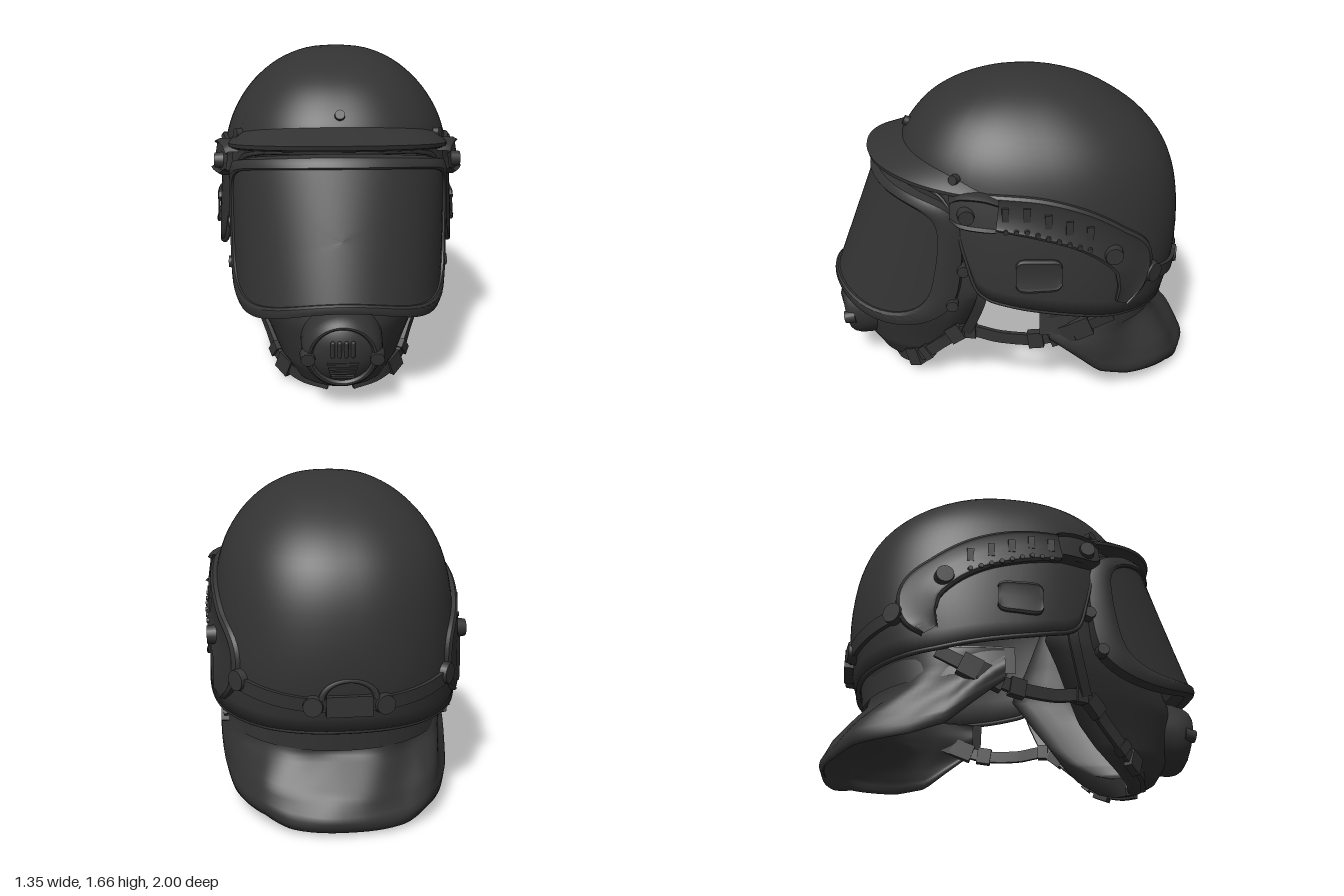
import * as THREE from 'three';
import { toCreasedNormals } from 'three/addons/utils/BufferGeometryUtils.js';

const V = (x, y, z) => new THREE.Vector3(x, y, z);
const { lerp, clamp } = THREE.MathUtils;
const rad = (d) => (d * Math.PI) / 180;
const pw = (v, e) => Math.sign(v) * Math.abs(v) ** e;

// Piecewise linear lookup in rows sorted by their first number
function look(rows, x) {
  let i = 0;
  while (i < rows.length - 2 && x > rows[i + 1][0]) i++;
  const a = rows[i], b = rows[i + 1];
  const t = clamp((x - a[0]) / (b[0] - a[0]), 0, 1);
  return a.map((v, k) => lerp(v, b[k], t));
}

// Surface from a rule f(u, v); closed directions share their seam
function grid(nu, nv, f, closeU = false, closeV = false) {
  const cu = closeU ? nu : nu + 1, cv = closeV ? nv : nv + 1;
  const pos = [], idx = [];
  for (let i = 0; i < cu; i++)
    for (let j = 0; j < cv; j++) pos.push(...f(i / nu, j / nv, i, j).toArray());
  for (let i = 0; i < nu; i++)
    for (let j = 0; j < nv; j++) {
      const i2 = (i + 1) % cu, j2 = (j + 1) % cv;
      const a = i * cv + j, b = i2 * cv + j, c = i2 * cv + j2, d = i * cv + j2;
      idx.push(a, b, c, a, c, d);
    }
  const g = new THREE.BufferGeometry();
  g.setAttribute('position', new THREE.Float32BufferAttribute(pos, 3));
  g.setIndex(idx);
  g.computeVertexNormals();
  return g;
}
const crisp = (g) => toCreasedNormals(g, rad(35));

function mirrored(geo) {
  const g = (geo.index ? geo.toNonIndexed() : geo.clone()).scale(-1, 1, 1);
  for (const at of [g.attributes.position, g.attributes.normal])
    for (let i = 0; i < at.count; i += 3) {
      const b = [at.getX(i + 1), at.getY(i + 1), at.getZ(i + 1)];
      at.setXYZ(i + 1, at.getX(i + 2), at.getY(i + 2), at.getZ(i + 2));
      at.setXYZ(i + 2, ...b);
    }
  return g;
}

// Put a geometry at p with its +z axis along dir
function place(geo, p, dir) {
  const o = new THREE.Object3D();
  o.position.copy(p);
  o.lookAt(p.clone().add(dir));
  o.updateMatrix();
  return geo.applyMatrix4(o.matrix);
}
const disc = (r, h) => new THREE.CylinderGeometry(r * 0.85, r, h, 20).rotateX(Math.PI / 2);

// Helmet cross-sections: y, half width, front z, back z
const SHELL = [
  [0.45, 0.65, 0.56, -0.84], [0.65, 0.655, 0.6, -0.89], [0.85, 0.645, 0.62, -0.905], [1.05, 0.625, 0.63, -0.89],
  [1.2, 0.597, 0.62, -0.852], [1.32, 0.555, 0.59, -0.79], [1.43, 0.488, 0.52, -0.69], [1.52, 0.405, 0.43, -0.565],
  [1.59, 0.31, 0.31, -0.435], [1.64, 0.2, 0.165, -0.28], [1.661, 0.1, 0.04, -0.16], [1.666, 0, -0.06, -0.06],
];
const curveA = new THREE.SplineCurve(SHELL.map((r) => new THREE.Vector2(r[0], r[1])));
const curveB = new THREE.SplineCurve(SHELL.map((r) => new THREE.Vector2(r[2], r[3])));
const RIM = [[-0.9, 0.48], [-0.8, 0.485], [-0.5, 0.51], [0, 0.595], [0.18, 0.635], [0.24, 0.69],
  [0.28, 0.85], [0.33, 1.09], [0.38, 1.16], [0.5, 1.2], [0.62, 1.22]];

function paramAt(y) {
  let a = 0, b = 1;
  for (let i = 0; i < 24; i++) {
    const m = (a + b) / 2;
    if (curveA.getPoint(m).x < y) a = m; else b = m;
  }
  return a;
}
// Point on the shell at angle a (0 = front) and curve parameter t
function shellAt(a, t, off = 0) {
  const A = curveA.getPoint(t), B = curveB.getPoint(t);
  return V(Math.max(0, A.y + off) * pw(Math.sin(a), 0.85), A.x,
    (B.x + B.y) / 2 + Math.max(0, (B.x - B.y) / 2 + off) * pw(Math.cos(a), 0.85));
}
const rimY = (a) => look(RIM, -0.14 + 0.76 * pw(Math.cos(a), 0.85))[1];
// Point on the left side of the shell at a given z and y
function sideAt(z, y, off = 0) {
  const t = paramAt(y), A = curveA.getPoint(t), B = curveB.getPoint(t);
  const d = Math.min(1, Math.abs((z - (B.x + B.y) / 2) / ((B.x - B.y) / 2)));
  return V(A.y * (1 - d ** 2.35) ** (1 / 2.35) + off, y, z);
}
// Raised band on the shell side along stations of z, y, half height
function band(stations, depth, n = 40) {
  const c = new THREE.CatmullRomCurve3(stations.map((s) => V(...s)));
  const sec = [[-1, -0.01], [-1, 0.7], [-0.85, 1], [-0.7, 0.75], [0, 0.75], [0.7, 0.75], [0.85, 1], [1, 0.7], [1, -0.01]];
  return crisp(grid(n, sec.length, (u, v, i, j) => {
    const p = c.getPoint(u), t = c.getTangent(u), l = Math.hypot(t.x, t.y);
    const w = sec[j][0] * p.z;
    return sideAt(p.x - (t.y / l) * w, p.y + (t.x / l) * w, sec[j][1] * depth);
  }, false, true));
}
// Flat webbing swept along a curve
const strap = (c, w, th) => crisp(grid(48, 4, (u, v, i, j) => {
  const p = c.getPoint(u), t = c.getTangent(u);
  const side = t.clone().cross(V(p.x, 0, p.z * 0.3)).normalize(), out = side.clone().cross(t);
  return p.addScaledVector(side, [-w, w, w, -w][j]).addScaledVector(out, [-th, -th, th, th][j]);
}, false, true));

// Visor surface: t around the border, k outwards from the centre
function visorAt(t, k, off = 0) {
  const c = Math.cos(t), s = Math.sin(t), r = (Math.abs(c) ** 5 + Math.abs(s) ** 5) ** -0.2;
  const v = r * s * k, phi = rad(78) * r * c * k * (1 - 0.04 * Math.max(0, -v));
  const y = 0.85 + 0.32 * v + (v < 0 ? -v * 0.055 * Math.cos(2.6 * phi) : -v * 0.05 * Math.sin(phi) ** 2);
  return V((0.55 + off) * Math.sin(phi), y, 0.3 + (0.685 - (y - 0.55) * 0.385 + off) * Math.cos(phi));
}

export function createModel() {
  const model = new THREE.Group();
  const charcoal = new THREE.MeshStandardMaterial({ color: 0x333333, side: THREE.DoubleSide });
  charcoal.name = 'charcoal';
  const add = (name, geo) => {
    const m = new THREE.Mesh(geo, charcoal);
    m.name = name;
    model.add(m);
  };
  const pair = (name, geo) => { add(name + 'Left', geo); add(name + 'Right', mirrored(geo)); };

  // Helmet shell, outside and lining in one surface, with an edge trim
  add('helmetShell', grid(112, 60, (u, v) => {
    const a = u * Math.PI * 2, k = Math.abs(v * 2 - 1);
    return shellAt(a, lerp(paramAt(rimY(a)), 1, k), v < 0.5 ? -0.022 : 0).add(V(0, v < 0.5 ? -0.022 * k : 0, 0));
  }, true));
  const rim = Array.from({ length: 90 }, (_, i) => shellAt(rad(i * 4), paramAt(rimY(rad(i * 4))), -0.01));
  add('edgeTrim', new THREE.TubeGeometry(new THREE.CatmullRomCurve3(rim, true), 180, 0.013, 8, true));

  // Peak over the visor: half width, centre z, depth, y in the middle, y at the ends
  const peak = [[0.545, 0.1, 0.43, 1.35, 1.2], [0.56, 0.13, 0.54, 1.315, 1.2], [0.575, 0.15, 0.622, 1.285, 1.185],
    [0.575, 0.15, 0.615, 1.262, 1.17], [0.555, 0.13, 0.5, 1.225, 1.15], [0.54, 0.1, 0.43, 1.215, 1.14]];
  add('peak', crisp(grid(48, peak.length, (u, v, i, j) => {
    const a = rad(lerp(-84, 84, u)), [w, zc, d, ym, ye] = peak[j], c = Math.cos(a);
    return V(w * pw(Math.sin(a), 0.9), lerp(ye, ym, c), zc + d * pw(c, 0.9));
  }, false, true)));

  // Visor lens and its heavy frame
  add('visorLens', grid(96, 14, (u, v) => visorAt(u * Math.PI * 2, v * 1.01), true));
  const frame = [[1, -0.01], [1, 0.01], [1.03, 0.018], [1.1, 0.015], [1.16, 0.004], [1.18, -0.05], [1, -0.07]];
  add('visorFrame', crisp(grid(128, frame.length, (u, v, i, j) => visorAt(u * Math.PI * 2, ...frame[j]), true, true)));
  for (const [z, y] of [[0.29, 0.78], [0.35, 0.58]])
    pair('frameBolt', place(disc(0.035, 0.05), V(0.55, y, z), V(1, 0, 0)));

  // Face mask: open at the back with a broad inward sealing lip; rows of y, half width, front z, back z
  const mask = [[0.005, 0.02, 0.63, 0.61], [0.02, 0.14, 0.69, 0.57], [0.06, 0.24, 0.76, 0.49], [0.15, 0.32, 0.82, 0.37],
    [0.25, 0.37, 0.85, 0.28], [0.4, 0.445, 0.87, 0.2], [0.5, 0.49, 0.84, 0.15], [0.62, 0.535, 0.76, 0.08],
    [0.85, 0.54, 0.62, 0.16], [1.15, 0.52, 0.52, 0.25]];
  add('faceMask', grid(40, 40, (u, v) => {
    const inner = v >= 0.5, a = lerp(-92, 92, inner ? 2 - v * 2 : v * 2);
    const [y, w, zf, zb] = look(mask, 0.005 + 1.145 * u ** 1.6);
    return V(w * (inner ? 0.77 : 1) * Math.sin(rad(a)), inner ? lerp(0.1, 1.12, y / 1.15) : y,
      zb + (zf - zb) * (inner ? 0.9 : 1) * Math.cos(rad(a)));
  }, false, true));

  // Breathing valve: round housing, grille bars and side lugs
  const tilt = (g) => g.rotateX(rad(9)).translate(0, 0.32, 0.845);
  const prof = [[0.2, -0.08], [0.198, 0], [0.193, 0.05], [0.178, 0.085], [0.163, 0.1], [0.152, 0.1], [0.142, 0.088], [0.137, 0.094], [0.08, 0.112], [0, 0.118]];
  add('valveHousing', tilt(crisp(new THREE.LatheGeometry(prof.map((p) => new THREE.Vector2(...p)), 48).rotateX(Math.PI / 2))));
  for (let i = 0; i < 4; i++) {
    add('valveSlat', tilt(new THREE.CapsuleGeometry(0.011, 0.07, 4, 8).translate(-0.048 + i * 0.032, 0.05, 0.113)));
    add('valveBar', tilt(new THREE.BoxGeometry(0.15 - i * 0.012, 0.012, 0.03).translate(0, -0.03 - i * 0.024, 0.104)));
  }
  pair('valveLug', tilt(disc(0.04, 0.06).translate(0.165, -0.01, 0.08)));

  // Chin and neck straps with buckles
  const path = new THREE.CatmullRomCurve3([V(0.06, 0.035, 0.68), V(0.2, 0.06, 0.63), V(0.3, 0.11, 0.54), V(0.38, 0.25, 0.4),
    V(0.45, 0.36, 0.28), V(0.5, 0.34, 0.1), V(0.55, 0.35, -0.1), V(0.575, 0.41, -0.28), V(0.58, 0.5, -0.48)]);
  pair('strap', strap(path, 0.032, 0.012));
  for (const [t, w, l] of [[0.22, 0.1, 0.09], [0.29, 0.085, 0.05], [0.45, 0.09, 0.1], [0.52, 0.08, 0.06], [0.74, 0.09, 0.08], [0.83, 0.1, 0.13], [0.9, 0.11, 0.1]])
    pair('buckle', place(new THREE.BoxGeometry(0.045, w, l), path.getPoint(t), path.getTangent(t)));
  const upper = new THREE.CatmullRomCurve3([V(0.47, 0.36, 0.28), V(0.52, 0.48, 0.24), V(0.565, 0.62, 0.2), V(0.57, 0.8, 0.18)]);
  pair('upperStrap', strap(upper, 0.026, 0.01));

  // Neck guard: soft flared skirt with folds, double layered, and a collar above
  const hem = [[-1, 0.025], [-0.94, 0.03], [-0.85, 0.065], [-0.6, 0.09], [-0.43, 0.14], [-0.3, 0.25], [-0.15, 0.37], [-0.1, 0.42]];
  const skirt = [[0, 0.575, 0.69], [0.25, 0.58, 0.63], [0.4, 0.585, 0.645], [0.7, 0.595, 0.79], [0.9, 0.6, 0.85], [1, 0.59, 0.835]];
  add('neckGuard', grid(80, 40, (u, v) => {
    const a = rad(lerp(90, 270, u)), inner = v > 0.5, s = inner ? 2 - v * 2 : v * 2, e = 0.92 - 0.1 * s;
    const [, w, b] = look(skirt, s), c = pw(Math.cos(a), e), low = look(hem, -0.15 + 0.85 * c)[1];
    const fold = 0.014 * Math.sin(a * 9 + s * 6) * s * (1 - s) * 4 - (inner ? 0.018 : 0);
    return V((w + fold) * pw(Math.sin(a), e), lerp(0.54, low, s), -0.15 + (b + fold) * c);
  }));
  add('collar', grid(60, 6, (u, v) => {
    const a = rad(lerp(88, 272, u)), back = -Math.cos(a);
    return V((0.57 + 0.025 * v) * pw(Math.sin(a), 0.92), lerp(0.55, lerp(0.4, 0.37, back), v), -0.13 + (0.7 - 0.02 * v) * pw(Math.cos(a), 0.92));
  }));

  // Side rail, front clamp, studs and slots
  pair('sideRail', band([[0.34, 1.13, 0.07], [0.1, 1.115, 0.09], [-0.1, 1.085, 0.1], [-0.3, 1.02, 0.1], [-0.46, 0.925, 0.1],
    [-0.57, 0.82, 0.11], [-0.575, 0.7, 0.09], [-0.52, 0.59, 0.04]], 0.03, 64));
  pair('railClamp', band([[0.35, 1.12, 0.05], [0.31, 1.12, 0.08], [0.2, 1.12, 0.09], [0.12, 1.11, 0.08]], 0.07, 16));
  for (let i = 0; i < 9; i++) {
    const z = 0.08 - i * 0.052, y = 1.09 - Math.max(0, i - 2) * 0.018;
    pair('railStud', place(disc(0.014, 0.02), sideAt(z, y - 0.06, 0.025), V(1, 0, 0)));
    if (i % 2 === 0) pair('railSlot', place(new THREE.BoxGeometry(0.035, 0.07, 0.02), sideAt(z, y + 0.025, 0.02), V(1, 0, 0)));
  }
  for (const [z, y, r, o] of [[0.27, 1.11, 0.045, 0.06], [-0.46, 0.88, 0.052, 0.03], [-0.69, 0.71, 0.06, 0.01]])
    pair('knob', place(disc(r, 0.05), sideAt(z, y, o), V(1, 0, z < -0.6 ? -0.8 : 0)));

  // Square ear port
  pair('earPort', band([[0.03, 0.785, 0.06], [0.01, 0.785, 0.085], [-0.1, 0.785, 0.088], [-0.18, 0.785, 0.08], [-0.2, 0.785, 0.055]], 0.018, 20));

  // Rear headband with its adjuster and cable arch
  const loop = [[-0.035, -0.01], [0.035, -0.01], [0.035, 0.02], [-0.035, 0.02]];
  add('headband', crisp(grid(48, 4, (u, v, i, j) => {
    const a = rad(lerp(128, 232, u));
    return shellAt(a, paramAt(lerp(0.71, 0.63, Math.sin(u * Math.PI)) + loop[j][0]), loop[j][1]);
  }, false, true)));
  add('adjuster', new THREE.BoxGeometry(0.22, 0.1, 0.05).translate(0, 0.63, -0.895));
  pair('adjusterPod', place(disc(0.055, 0.05), V(0.17, 0.63, -0.885), V(0.2, 0, -1)));
  add('cableArch', new THREE.TorusGeometry(0.13, 0.016, 8, 24, Math.PI).scale(1, 0.7, 1).translate(0, 0.66, -0.895));

  // Shell bolts
  add('frontBolt', place(disc(0.028, 0.04), V(0, 1.39, 0.555), V(0, 0.5, 1)));
  pair('templeBolt', place(disc(0.028, 0.04), sideAt(0.32, 1.26, 0.01), V(1, 0.2, 0.6)));
  return model;
}
